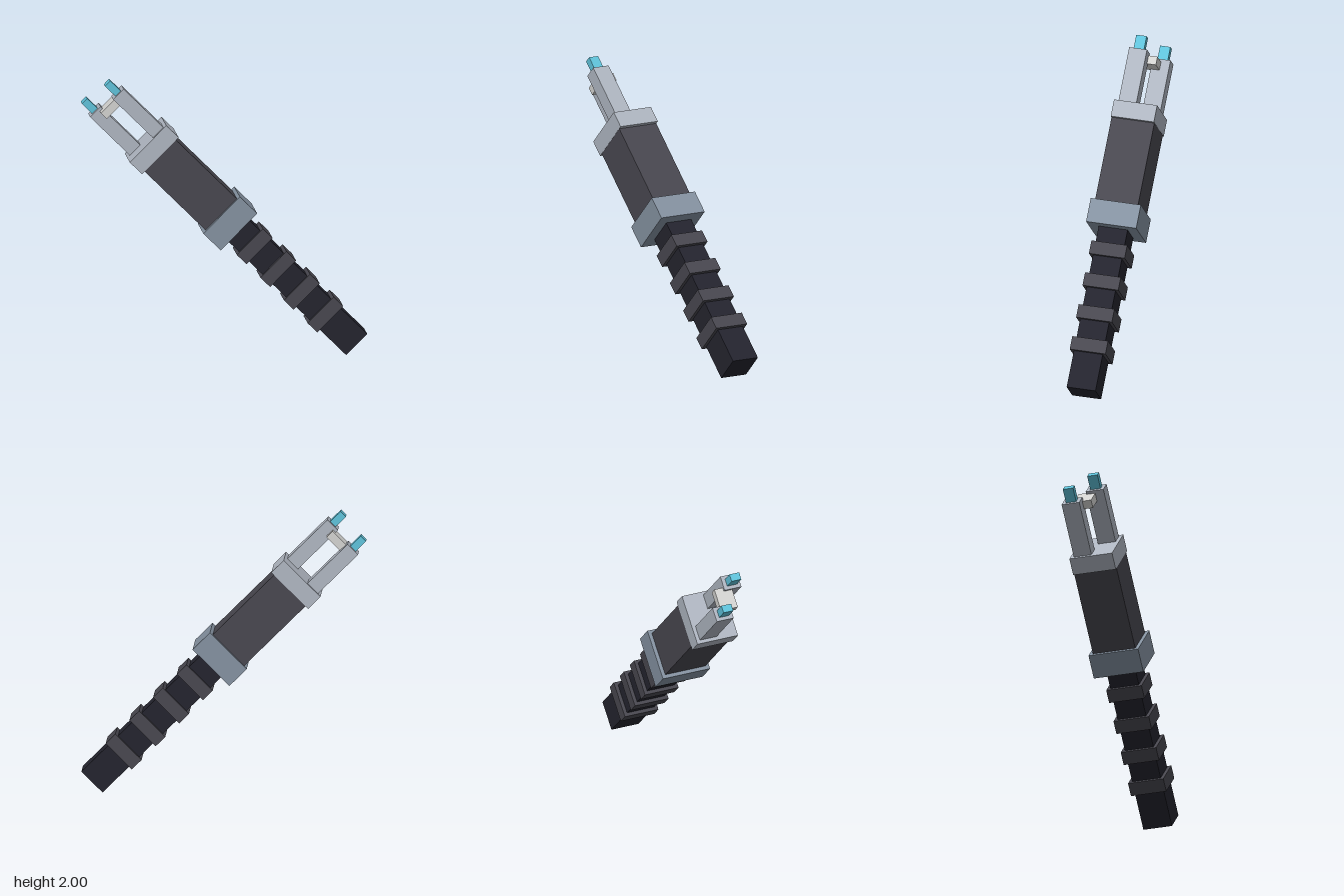
import * as THREE from 'three';

const mat = (name, color) => {
  const m = new THREE.MeshStandardMaterial({ color });
  m.name = name;
  return m;
};

export function createModel() {
  const gripBlack = mat('gripBlack', 0x24242e);
  const charcoal = mat('charcoal', 0x48474f);
  const steelBlue = mat('steelBlue', 0x8491a0);
  const paleSteel = mat('paleSteel', 0xaeb5c0);
  const lightGrey = mat('lightGrey', 0xd2d2d0);
  const cyan = mat('cyan', 0x5fc2da);

  // The tool is built upright along y, then tilted 45 degrees
  const tool = new THREE.Group();
  tool.name = 'tool';

  // Box spanning y0..y1, with width w and depth d, centred on x and z
  const block = (name, material, w, d, y0, y1, x = 0, z = 0) => {
    const mesh = new THREE.Mesh(new THREE.BoxGeometry(w, y1 - y0, d), material);
    mesh.name = name;
    mesh.position.set(x, (y0 + y1) / 2, z);
    tool.add(mesh);
  };

  // Handle with four grip rings
  block('handle', gripBlack, 0.21, 0.21, -1.308, -0.12);
  for (let i = 0; i < 4; i++) {
    const y = -0.285 - i * 0.2355;
    block('gripRing', charcoal, 0.26, 0.26, y - 0.048, y + 0.048);
  }

  // Guard, body and upper collar
  block('guard', steelBlue, 0.365, 0.365, -0.12, 0.053);
  block('body', charcoal, 0.312, 0.312, 0.053, 0.661);
  block('collar', paleSteel, 0.365, 0.314, 0.661, 0.784);

  // Two staggered prongs with bright tips
  for (const side of [1, -1]) {
    block('prong', paleSteel, 0.104, 0.13, 0.784, 1.181, side * 0.105, side * 0.065);
    block('prongTip', cyan, 0.053, 0.075, 1.181, 1.284, side * 0.105, side * 0.066);
  }

  // Bar joining the prongs
  block('crossbar', lightGrey, 0.16, 0.13, 1.1, 1.16);

  tool.rotation.z = Math.PI / 4;
  tool.position.y = 1;

  const model = new THREE.Group();
  model.name = 'model';
  model.add(tool);
  return model;
}
